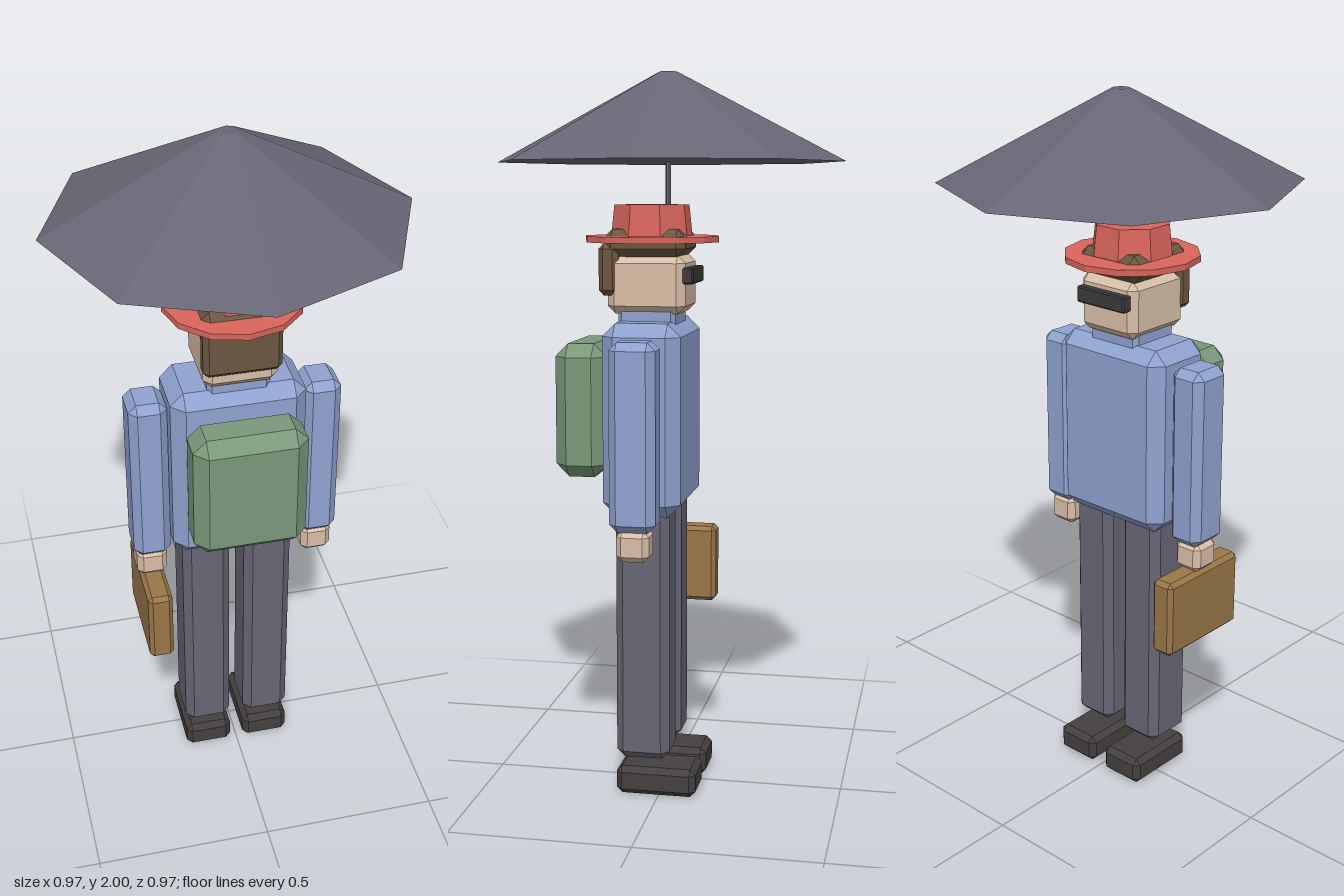
import * as THREE from 'three';
import { ConvexGeometry } from 'three/addons/geometries/ConvexGeometry.js';

const colour = (name, hex) => {
  const m = new THREE.MeshStandardMaterial({ color: hex });
  m.name = name;
  return m;
};

// Box with chamfered edges and corners, given by its extents on each axis
function chamferBox([x0, x1], [y0, y1], [z0, z1], b) {
  const half = [(x1 - x0) / 2, (y1 - y0) / 2, (z1 - z0) / 2];
  const points = [];
  for (const sx of [-1, 1]) for (const sy of [-1, 1]) for (const sz of [-1, 1]) {
    const s = [sx, sy, sz];
    for (let axis = 0; axis < 3; axis++) {
      const p = half.map((h, i) => s[i] * (i === axis ? h : h - b));
      points.push(new THREE.Vector3(...p));
    }
  }
  const geometry = new ConvexGeometry(points);
  geometry.translate((x0 + x1) / 2, (y0 + y1) / 2, (z0 + z1) / 2);
  return geometry;
}

// Faceted upright cylinder between two heights
function prism(rTop, rBottom, y0, y1, sides, z = 0, turn = 0) {
  const indexed = new THREE.CylinderGeometry(rTop, rBottom, y1 - y0, sides);
  const geometry = indexed.toNonIndexed();
  geometry.computeVertexNormals();
  geometry.rotateY(turn).translate(0, (y0 + y1) / 2, z);
  return geometry;
}

export function createModel() {
  const group = new THREE.Group();
  const slate = colour('slate cloth', 0x686675);
  const blue = colour('blue shirt', 0x8fa2d0);
  const skin = colour('skin', 0xd9bfa8);
  const red = colour('red hat', 0xd9655c);
  const green = colour('green canvas', 0x7a987a);
  const tan = colour('tan leather', 0x9a7748);
  const brown = colour('brown hair', 0x6b5640);
  const black = colour('black leather', 0x454040);
  const dark = colour('dark lens', 0x3c3a3c);

  const add = (name, geometry, material) => {
    const mesh = new THREE.Mesh(geometry, material);
    mesh.name = name;
    group.add(mesh);
  };

  // Legs, shoes, arms and hands, mirrored
  for (const [side, s] of [['left', 1], ['right', -1]]) {
    const span = (a, b) => (s > 0 ? [a, b] : [-b, -a]);
    add(side + 'Shoe', chamferBox(span(0.02, 0.157), [0, 0.08], [-0.105, 0.12], 0.016), black);
    add(side + 'Leg', chamferBox(span(0.022, 0.157), [0.105, 0.83], [-0.03, 0.12], 0.022), slate);
    add(side + 'Arm', chamferBox(span(0.187, 0.292), [0.78, 1.29], [-0.018, 0.108], 0.022), blue);
    add(side + 'Hand', chamferBox(span(0.197, 0.283), [0.7, 0.785], [0, 0.09], 0.016), skin);
  }

  // Body and luggage
  add('torso', chamferBox([-0.185, 0.185], [0.8, 1.33], [-0.063, 0.153], 0.036), blue);
  add('collar', chamferBox([-0.085, 0.085], [1.28, 1.37], [-0.035, 0.125], 0.012), blue);
  add('backpack', chamferBox([-0.155, 0.155], [0.9, 1.27], [0.148, 0.292], 0.036), green);
  add('briefcase', chamferBox([-0.275, -0.205], [0.475, 0.7], [-0.102, 0.195], 0.012), tan);

  // Head
  add('head', chamferBox([-0.1, 0.1], [1.35, 1.51], [-0.063, 0.153], 0.022), skin);
  add('hairTop', chamferBox([-0.105, 0.105], [1.505, 1.58], [-0.063, 0.16], 0.022), brown);
  add('hairBack', chamferBox([-0.105, 0.105], [1.4, 1.54], [0.12, 0.175], 0.014), brown);
  add('glasses', chamferBox([-0.085, 0.085], [1.432, 1.477], [-0.085, -0.052], 0.004), dark);

  // Hat
  add('hatBrim', prism(0.187, 0.187, 1.543, 1.56, 12, 0.045), red);
  add('hatCrown', prism(0.105, 0.115, 1.55, 1.645, 8, 0.045, Math.PI / 8), red);

  // Umbrella
  add('umbrellaStick', prism(0.008, 0.008, 1.5, 1.8, 6), slate);
  add('umbrellaCanopy', prism(0.025, 0.485, 1.76, 2, 8), slate);

  return group;
}
